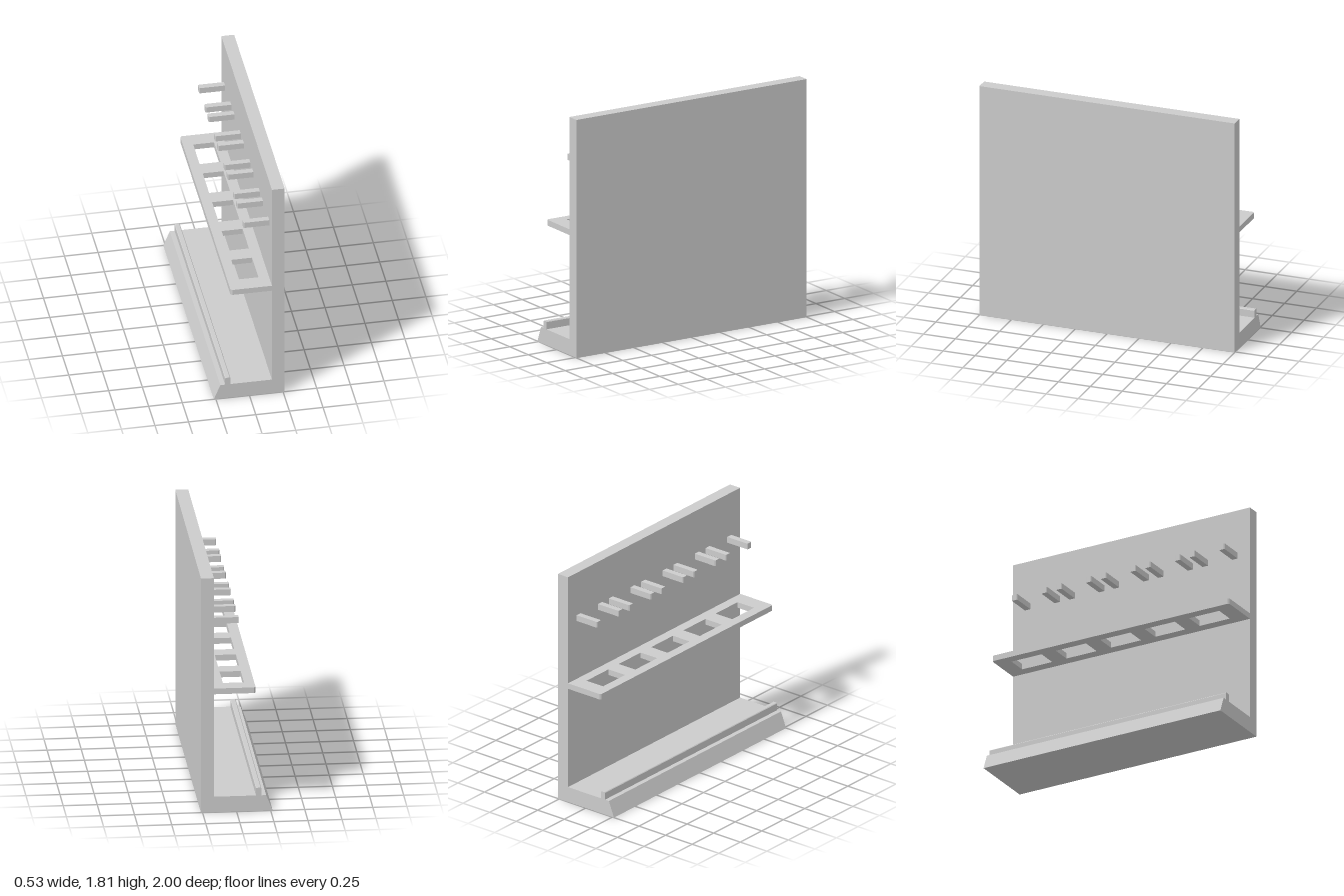
import * as THREE from 'three';

const material = new THREE.MeshStandardMaterial({ color: 0xcccccc, flatShading: true });

function outline(points) {
  return new THREE.Shape(points.map(([x, y]) => new THREE.Vector2(x, y)));
}

function addMesh(group, name, geometry) {
  const mesh = new THREE.Mesh(geometry, material);
  mesh.name = name;
  group.add(mesh);
  return mesh;
}

// Profile in x/y, swept along the full depth
function sweepZ(points) {
  return new THREE.ExtrudeGeometry(outline(points), { depth: 2, bevelEnabled: false }).translate(0, 0, -1);
}

// Flat slab in x/z whose two outer corners are cut by c
function slab(x0, x1, z0, z1, y0, y1, c, holes = []) {
  const shape = outline([[x0 + c, z0], [x1, z0], [x1, z1], [x0 + c, z1], [x0, z1 - c], [x0, z0 + c]]);
  shape.holes = holes;
  return new THREE.ExtrudeGeometry(shape, { depth: y1 - y0, bevelEnabled: false })
    .rotateX(Math.PI / 2).translate(0, y1, 0);
}

export function createModel() {
  const model = new THREE.Group();
  model.name = 'wallRack';
  const wall = 0.167;
  const slots = [-2, -1, 0, 1, 2].map(i => i * 0.375 - 0.0025);

  // Upright panel and foot with a sloping front edge
  addMesh(model, 'panelAndBase', sweepZ([
    [-0.265, 0], [0.262, 0], [0.262, 1.81], [wall, 1.81], [wall, 0.12], [-0.217, 0.12],
  ]));

  // Retaining rail along the foot
  addMesh(model, 'rail', sweepZ([
    [-0.181, 0.11], [-0.142, 0.11], [-0.142, 0.174], [-0.147, 0.179], [-0.176, 0.179], [-0.181, 0.174],
  ]));

  // Shelf with one rectangular opening per slot
  const holes = slots.map(z => outline([
    [-0.065, z - 0.127], [-0.065, z + 0.127], [0.09, z + 0.127], [0.09, z - 0.127],
  ]));
  addMesh(model, 'shelf', slab(-0.14, wall, -1, 1, 0.912, 0.956, 0.012, holes));

  // A pair of pegs above each opening
  for (const z of slots) {
    for (const side of [-1, 1]) {
      const c = z + side * 0.125;
      addMesh(model, 'peg', slab(-0.025, wall, c - 0.023, c + 0.023, 1.423, 1.469, 0.006));
    }
  }
  return model;
}
